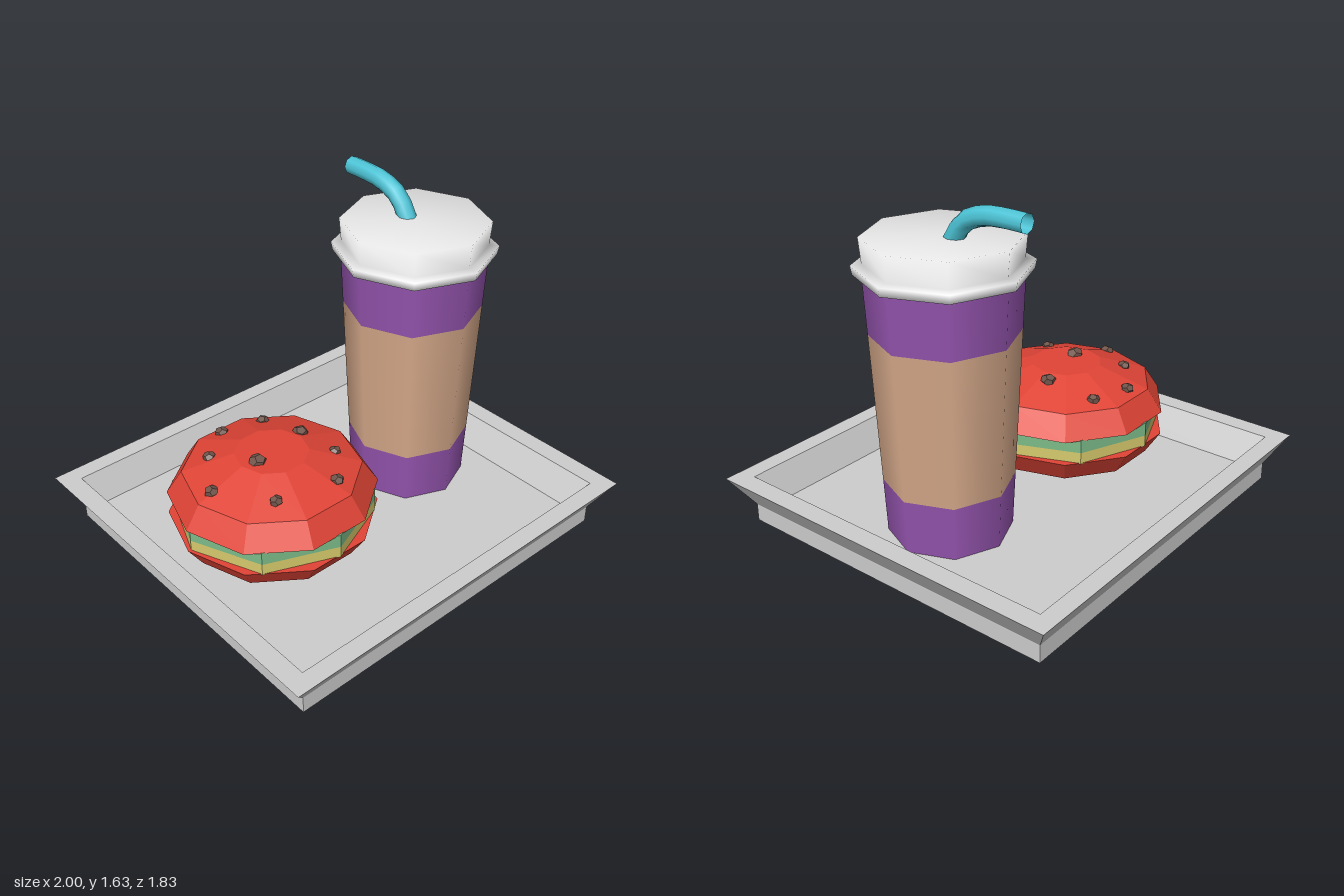
import * as THREE from 'three';

const material = (name, color) => {
  const m = new THREE.MeshStandardMaterial({ color });
  m.name = name;
  return m;
};

export function createModel() {
  const model = new THREE.Group();
  const grey = material('tray grey', 0xcdcdcd);
  const red = material('bun red', 0xe04436);
  const green = material('lettuce green', 0x7cba88);
  const yellow = material('cheese yellow', 0xd6ca6c);
  const brown = material('seed brown', 0x70544a);
  const purple = material('cup purple', 0x9454ae);
  const tan = material('sleeve tan', 0xd6a98a);
  const white = material('lid white', 0xe8e8e8);
  const cyan = material('straw cyan', 0x4cc4d6);
  // open straw end shows its inside
  cyan.side = THREE.DoubleSide;

  const lathe = (profile, sides, start = Math.PI / 2) =>
    new THREE.LatheGeometry(profile.map(([r, y]) => new THREE.Vector2(r, y)), sides, start);
  const faceted = (geometry) => {
    const g = geometry.index ? geometry.toNonIndexed() : geometry;
    g.computeVertexNormals();
    return g;
  };
  const add = (parent, name, geometry, mat) => {
    const mesh = new THREE.Mesh(geometry, mat);
    mesh.name = name;
    parent.add(mesh);
    return mesh;
  };

  // Tray: four-sided flared dish, slightly narrower in depth
  const floor = 0.09;
  const trayProfile = [[0, 0], [0.905, 0], [0.905, 0.085], [1, 0.23], [0.905, 0.23], [0.825, floor], [0, floor]]
    .map(([r, y]) => [r * Math.SQRT2, y]);
  add(model, 'tray', faceted(lathe(trayProfile, 4, Math.PI / 4).scale(1, 1, 0.915)), grey);

  // Burger: ten-sided buns around eight-sided fillings
  const burger = new THREE.Group();
  burger.name = 'burger';
  burger.position.x = -0.378;
  model.add(burger);
  const bun = [[0, 0], [0.482, 0], [0.41, 0.11], [0.17, 0.195], [0, 0.195]];
  add(burger, 'topBun', faceted(lathe(bun.map(([r, y]) => [r, 0.4 + y]), 10)), red);
  add(burger, 'bottomBun', faceted(lathe(bun.map(([r, y]) => [r, 0.285 - y]).reverse(), 10)), red);
  const slab = (y0, y1) => faceted(lathe([[0, y0], [0.466, y0], [0.466, y1], [0, y1]], 8));
  add(burger, 'cheese', slab(0.28, 0.338), yellow);
  add(burger, 'lettuce', slab(0.338, 0.403), green);

  // Seeds scattered on the top bun: x, z, radius
  const seeds = [
    [-0.41, -0.335, 0.033], [-0.21, -0.28, 0.031], [-0.58, -0.2, 0.031],
    [-0.71, -0.01, 0.034], [-0.47, 0.015, 0.042], [-0.175, -0.045, 0.038],
    [-0.125, 0.14, 0.028], [-0.55, 0.24, 0.031], [-0.25, 0.295, 0.033],
  ];
  for (const [x, z, size] of seeds) {
    const r = Math.hypot(x + 0.378, z);
    const y = 0.595 - 0.085 * Math.max(0, (r - 0.165) / 0.24);
    const seed = add(burger, 'seed', faceted(new THREE.DodecahedronGeometry(size)), brown);
    seed.position.set(x + 0.378, y, z);
    seed.scale.y = 0.75;
    seed.rotation.y = x * 20;
  }

  // Drink: tapered eight-sided cup in three bands
  const drink = new THREE.Group();
  drink.name = 'drink';
  drink.position.x = 0.483;
  model.add(drink);
  const radius = (y) => 0.28 + 0.048 * (y - floor);
  const band = (y0, y1) => lathe([[radius(y0), y0], [radius(y1), y1]], 8);
  add(drink, 'cupBase', band(floor, 0.345), purple);
  add(drink, 'cupSleeve', band(0.345, 1.035), tan);
  add(drink, 'cupTop', band(1.035, 1.3), purple);
  add(drink, 'lid', lathe([
    [0, 1.292], [0.35, 1.292], [0.375, 1.3], [0.382, 1.34], [0.335, 1.345], [0.345, 1.46], [0, 1.46],
  ], 8), white);

  // Bent straw pointing to the back
  const path = new THREE.CatmullRomCurve3([
    [1.4, -0.03], [1.46, -0.06], [1.535, -0.115], [1.577, -0.21], [1.588, -0.31], [1.588, -0.43],
  ].map(([y, z]) => new THREE.Vector3(0, y, z)));
  add(drink, 'straw', new THREE.TubeGeometry(path, 8, 0.043, 8), cyan);

  return model;
}
